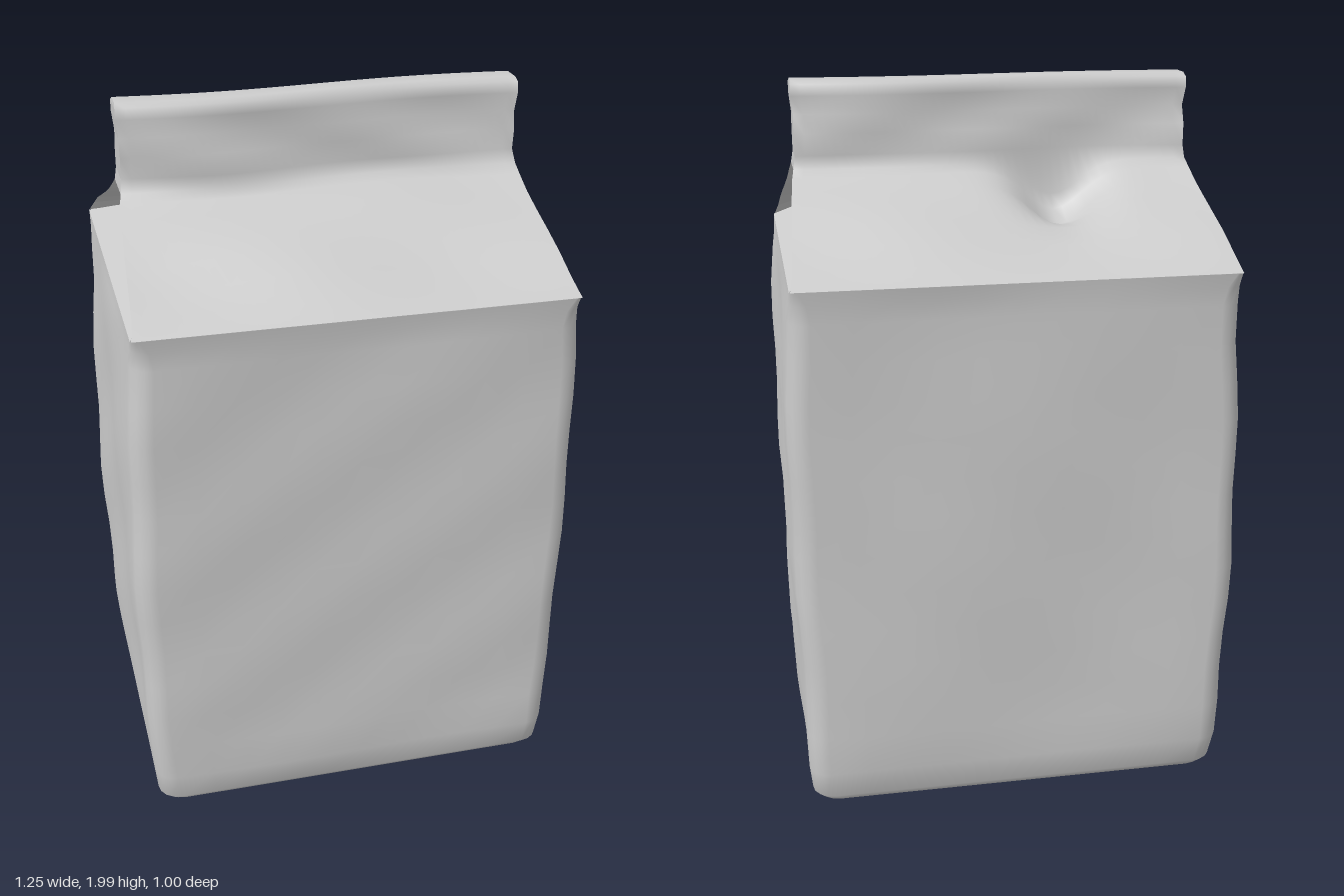
import * as THREE from 'three';
import { mergeVertices } from 'three/addons/utils/BufferGeometryUtils.js';

const paper = new THREE.MeshStandardMaterial({ color: 0xcccccc, side: THREE.DoubleSide });
paper.name = 'grey paper';

// Smooth surface through rows of points
function loft(rows) {
  const n = rows[0].length, index = [];
  for (let i = 0; i < rows.length - 1; i++) {
    for (let j = 0; j < n - 1; j++) {
      const a = i * n + j, b = a + n;
      index.push(a, b, a + 1, b, b + 1, a + 1);
    }
  }
  let g = new THREE.BufferGeometry();
  g.setAttribute('position', new THREE.Float32BufferAttribute(rows.flat(2), 3));
  g.setIndex(index);
  g = mergeVertices(g, 1e-5);
  g.computeVertexNormals();
  return g;
}

// Flat triangles from corner points
function facets(corners) {
  const g = new THREE.BufferGeometry();
  g.setAttribute('position', new THREE.Float32BufferAttribute(corners.flat(), 3));
  g.computeVertexNormals();
  return g;
}

// Gentle crumpling of the paper
const crumple = (a, b, c) =>
  0.006 * Math.sin(7 * a + 3 * b + c) + 0.004 * Math.sin(13 * b - 9 * a + 2 * c);

// Closed rounded rectangle, half sizes w and d
function ring(y, w, d, r) {
  const pts = [];
  const fade = Math.min(1, Math.max(0, (y - 0.03) * 6)) * Math.min(1, Math.max(0, (1.53 - y) * 6));
  const corners = [[1, 1, 0], [-1, 1, 1], [-1, -1, 2], [1, -1, 3]];
  corners.forEach(([sx, sz, q], k) => {
    const cx = sx * (w - r), cz = sz * (d - r);
    for (let i = 0; i <= 4; i++) {
      const a = (q + i / 4) * Math.PI / 2;
      pts.push([cx + r * Math.cos(a), cz + r * Math.sin(a)]);
    }
    // straight side to the next corner
    const [nx, nz] = corners[(k + 1) % 4];
    const a = (q + 1) * Math.PI / 2;
    const from = pts[pts.length - 1];
    const to = [nx * (w - r) + r * Math.cos(a), nz * (d - r) + r * Math.sin(a)];
    for (let i = 1; i < 10; i++) {
      const t = i / 10;
      pts.push([from[0] + (to[0] - from[0]) * t, from[1] + (to[1] - from[1]) * t]);
    }
  });
  pts.push(pts[0]);
  return pts.map(([x, z]) => [
    x + fade * crumple(z, y, x), y, z + fade * crumple(x, y, z + 2) * 0.8]);
}

// Roof and fin profile from the front eave up to the crest: z, y, half width
const slope = [
  [0.5, 1.53, 0.595], [0.44, 1.565, 0.585], [0.36, 1.605, 0.58], [0.28, 1.645, 0.575],
  [0.2, 1.685, 0.57], [0.14, 1.715, 0.565], [0.09, 1.745, 0.56], [0.065, 1.765, 0.555],
  [0.055, 1.8, 0.55], [0.06, 1.86, 0.55], [0.045, 1.91, 0.55], [0.053, 1.96, 0.555],
  [0.048, 1.99, 0.555], [0.03, 2, 0.553],
];
const profile = [...slope, ...slope.slice().reverse().map(([z, y, w]) => [-z, y, w])];

function roofPoint([z, y, w], s) {
  const x = w * s;
  const high = THREE.MathUtils.smoothstep(y, 1.65, 1.8);
  const mid = Math.sin(Math.PI * THREE.MathUtils.clamp((y - 1.53) / 0.24, 0, 1));
  let py = y + mid * 1.5 * crumple(x, z, 1);
  // pushed-in dent behind the fin
  if (z < -0.05 && y < 1.8) {
    py -= 0.12 * Math.exp(-(((x + 0.17) / 0.11) ** 2) - ((z + 0.12) / 0.11) ** 2);
  }
  const wave = -0.018 * Math.sin(Math.PI * x / 0.6) * high;
  const pinch = y > 1.78 && y < 1.95 ? 0.007 * Math.sin(11 * x + 20 * y) : 0;
  return [x, py, z + wave + pinch];
}

export function createModel() {
  const model = new THREE.Group();
  model.name = 'crumpledCarton';
  const add = (name, geometry) => {
    const mesh = new THREE.Mesh(geometry, paper);
    mesh.name = name;
    model.add(mesh);
  };

  // Body: base, softly rounded lower edge and bulging walls
  const rings = [
    [0.015, 0.05, 0.04, 0.02], [0.01, 0.52, 0.42, 0.05], [0.015, 0.575, 0.46, 0.06],
    [0.04, 0.592, 0.482, 0.06], [0.12, 0.602, 0.495, 0.06],
  ];
  for (let i = 1; i <= 12; i++) {
    const y = 0.12 + i * 0.11;
    rings.push([y, 0.602 + 0.016 * Math.sin(Math.PI * i / 13), 0.493, 0.06]);
  }
  rings.push([1.49, 0.6, 0.496, 0.045], [1.53, 0.598, 0.502, 0.02]);
  add('body', loft(rings.map((r) => ring(...r))));
  add('baseCentre', facets([
    [-0.05, 0.015, -0.04], [0.05, 0.015, -0.04], [0.05, 0.015, 0.04],
    [-0.05, 0.015, -0.04], [0.05, 0.015, 0.04], [-0.05, 0.015, 0.04]]));

  // Roof slopes with the upright sealed fin
  const rows = [];
  for (let i = 0; i <= 40; i++) rows.push(profile.map((p) => roofPoint(p, i / 20 - 1)));
  add('roofAndFin', loft(rows));

  for (const s of [-1, 1]) {
    const side = s > 0 ? 'left' : 'right';
    // End cap of the fin
    const end = profile.filter((p) => p[1] > 1.75).map((p) => roofPoint(p, s));
    const half = end.length / 2, cap = [];
    for (let i = 0; i < half - 1; i++) {
      const a = end[i], b = end[i + 1], c = end[end.length - 2 - i], d = end[end.length - 1 - i];
      cap.push(...(s > 0 ? [a, c, b, a, d, c] : [a, b, c, a, c, d]));
    }
    add(side + 'FinEnd', facets(cap));

    // Tucked-in gable: sloping end panel and the two folds under the roof edges
    const apex = [s * 0.34, 1.73, 0];
    const front = [s * 0.598, 1.53, 0.495], back = [s * 0.598, 1.53, -0.495];
    add(side + 'GablePanel', facets(s > 0 ? [front, back, apex] : [back, front, apex]));
    const ridge = [s * 0.555, 1.765, 0];
    const folds = [];
    for (const m of [1, -1]) {
      const edge = slope.slice(0, 8).map(([z, y, w]) => roofPoint([m * z, y, w], s));
      edge.push(ridge);
      for (let i = 0; i < edge.length - 1; i++) {
        folds.push(...(s * m > 0 ? [edge[i], apex, edge[i + 1]] : [edge[i + 1], apex, edge[i]]));
      }
    }
    add(side + 'GableFolds', facets(folds));
  }
  return model;
}
